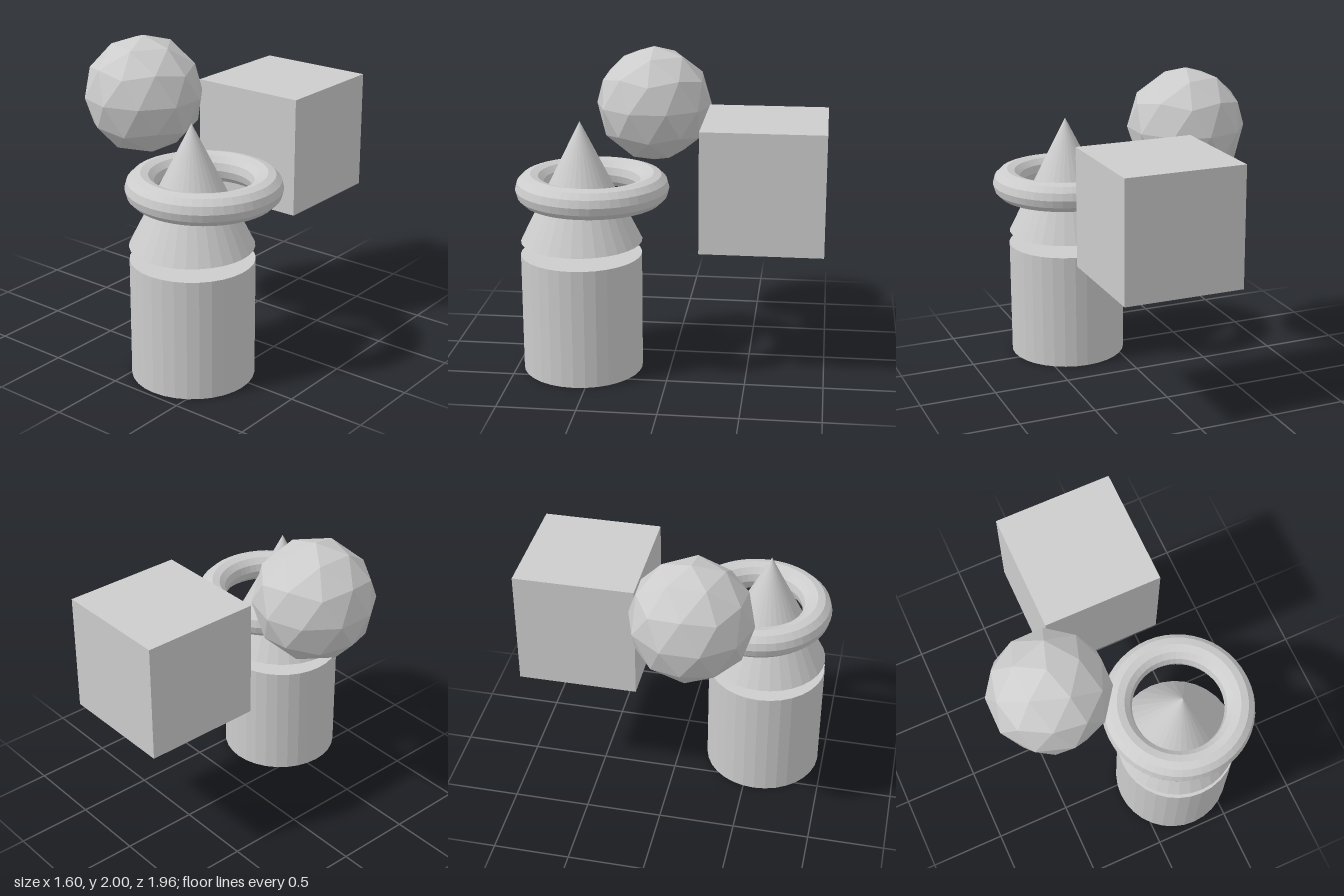
import * as THREE from 'three';

export function createModel() {
  const group = new THREE.Group();
  group.name = 'primitiveSolids';

  const grey = new THREE.MeshStandardMaterial({ color: 0xcccccc });
  grey.name = 'lightGrey';
  grey.flatShading = true;

  const R = 0.39; // every solid shares this half-size

  function add(name, geometry, x, y, z) {
    const mesh = new THREE.Mesh(geometry, grey);
    mesh.name = name;
    mesh.position.set(x, y, z);
    group.add(mesh);
  }

  // Standing cylinder with the cone floating just above it
  add('cylinder', new THREE.CylinderGeometry(R, R, 2 * R, 32), 0.285, R, 0.575);
  add('cone', new THREE.ConeGeometry(R, 2 * R, 32), 0.28, 1.255, 0.573);

  // Ring lying flat around the cone
  const ring = new THREE.TorusGeometry(R, R / 4, 12, 48).rotateX(Math.PI / 2);
  add('ring', ring, 0.3125, 1.227, 0.4925);

  // Faceted ball, turned so that one corner points straight up
  const ball = new THREE.IcosahedronGeometry(R, 1);
  ball.rotateZ(-Math.atan(2 / (1 + Math.sqrt(5))));
  add('facetedBall', ball, -0.432, 1.61, 0.19);

  // Cube at the back
  add('cube', new THREE.BoxGeometry(2 * R, 2 * R, 2 * R), 0.105, 1.255, -0.59);

  return group;
}
